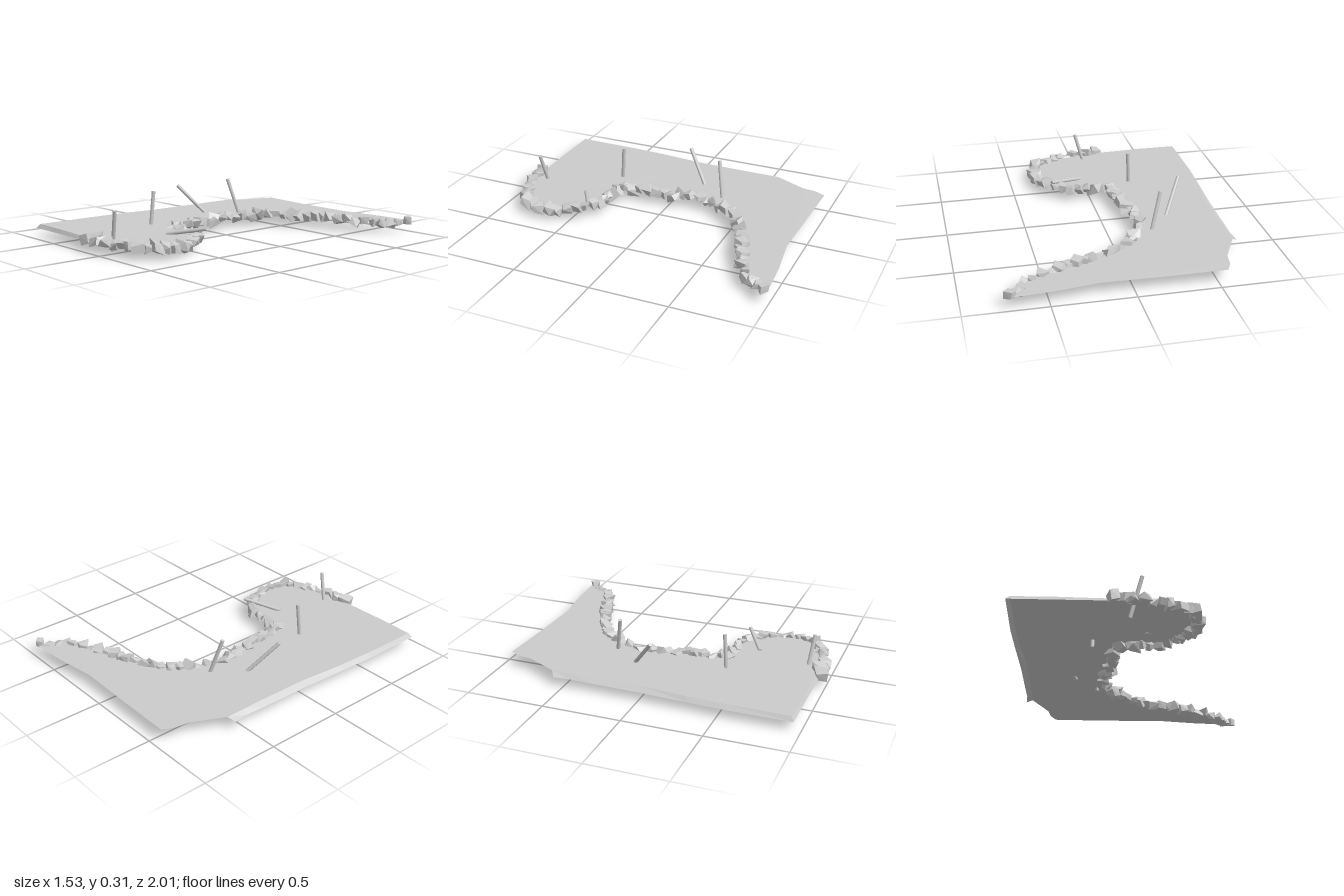
import * as THREE from 'three';
import { ConvexGeometry } from 'three/addons/geometries/ConvexGeometry.js';

const grey = new THREE.MeshStandardMaterial({ color: 0xcccccc });
const sheetGrey = new THREE.MeshStandardMaterial({ color: 0xcccccc, side: THREE.DoubleSide });
const stoneGrey = new THREE.MeshStandardMaterial({ color: 0xcccccc, flatShading: true });

// Small seeded generator for the stones
let seed = 7;
const random = () => {
  seed = (seed * 16807) % 2147483647;
  return seed / 2147483647;
};
const spread = (amount) => (random() * 2 - 1) * amount;

// Shoreline seen from above: [x, z] from the back tip round to the front
const shore = new THREE.CatmullRomCurve3([
  [0.72, -0.955], [0.62, -0.84], [0.47, -0.74], [0.3, -0.68], [0.08, -0.59], [-0.05, -0.5],
  [-0.14, -0.37], [-0.2, -0.22], [-0.2, -0.1], [-0.165, 0.04], [-0.15, 0.22], [-0.12, 0.34],
  [0.0, 0.375], [0.13, 0.375], [0.25, 0.46], [0.32, 0.6], [0.325, 0.74], [0.26, 0.85],
  [0.13, 0.905], [0.0, 0.945], [-0.17, 0.955],
].map(([x, z]) => new THREE.Vector3(x, 0.07, z)));

// Outer border with a raised crest and the foot of its bank: [crest x, z, foot x, z]
const bank = [
  [-0.2, 0.945, -0.2, 0.957], [-0.5, 0.943, -0.5, 0.957], [-0.75, 0.94, -0.77, 0.957],
  [-0.745, 0.55, -0.77, 0.55], [-0.733, 0.3, -0.76, 0.33], [-0.705, 0, -0.742, 0],
  [-0.7, -0.3, -0.735, -0.3], [-0.7, -0.47, -0.73, -0.46], [-0.7, -0.585, -0.74, -0.56],
];
const backEdge = [
  [-0.6, -0.785], [-0.585, -0.88], [-0.55, -0.95], [-0.2, -0.94], [0.2, -0.93],
  [0.47, -0.968], [0.7, -0.985],
];

function makeGround() {
  const group = new THREE.Group();
  group.name = 'ground';
  const outline = [
    ...shore.getSpacedPoints(70).map((p) => [p.x, p.z]),
    ...bank.map(([x, z]) => [x, z]),
    ...backEdge,
  ];
  const top = new THREE.ShapeGeometry(new THREE.Shape(outline.map(([x, z]) => new THREE.Vector2(x, -z))));
  top.rotateX(-Math.PI / 2);
  // Gentle fall from the crest to the shore
  const pos = top.attributes.position;
  for (let i = 0; i < pos.count; i++) {
    pos.setY(i, pos.getX(i) < -0.4 ? 0.084 : 0.078);
  }
  top.computeVertexNormals();
  const sheet = new THREE.Mesh(top, sheetGrey);
  sheet.name = 'groundSheet';

  // Sloping bank joining the crest to its foot
  const points = [];
  const faces = [];
  bank.forEach(([x, z, fx, fz], i) => {
    points.push(x, x < -0.4 ? 0.084 : 0.078, z, fx, 0.058, fz);
    const a = i * 2;
    if (i) faces.push(a - 2, a, a - 1, a, a + 1, a - 1);
  });
  const side = new THREE.BufferGeometry();
  side.setAttribute('position', new THREE.Float32BufferAttribute(points, 3));
  side.setIndex(faces);
  const slope = new THREE.Mesh(side.toNonIndexed(), sheetGrey);
  slope.geometry.computeVertexNormals();
  slope.name = 'bank';
  group.add(sheet, slope);
  return group;
}

// Angular stone: hull of the jittered corners of a box
function makeStone(radius) {
  const corners = [];
  for (const x of [-1, 1]) for (const y of [-1, 1]) for (const z of [-1, 1]) {
    corners.push(new THREE.Vector3(
      (x * 0.62 + spread(0.3)) * radius,
      (y * 0.5 + spread(0.22)) * radius,
      (z * 0.62 + spread(0.3)) * radius,
    ));
  }
  const stone = new THREE.Mesh(new ConvexGeometry(corners), stoneGrey);
  stone.rotation.set(spread(0.45), random() * Math.PI * 2, spread(0.45));
  return stone;
}

function makeStones() {
  const group = new THREE.Group();
  group.name = 'shoreStones';
  shore.getSpacedPoints(54).forEach((p, i) => {
    const stone = makeStone(0.04 + random() * 0.014);
    stone.position.set(p.x + spread(0.01), 0.072 + spread(0.013), p.z + spread(0.01));
    stone.name = `stone${i + 1}`;
    group.add(stone);
  });
  return group;
}

// Round stick between two points
function makeStick(from, to) {
  const a = new THREE.Vector3(...from);
  const b = new THREE.Vector3(...to);
  const dir = b.clone().sub(a);
  const stick = new THREE.Mesh(new THREE.CylinderGeometry(0.012, 0.012, dir.length(), 12), grey);
  stick.position.copy(a).add(b).multiplyScalar(0.5);
  stick.quaternion.setFromUnitVectors(new THREE.Vector3(0, 1, 0), dir.normalize());
  return stick;
}

export function createModel() {
  const model = new THREE.Group();
  model.name = 'stonyShore';
  model.add(makeGround(), makeStones());
  // Sticks: lower end, upper end
  [
    [[-0.39, 0.065, -0.17], [-0.515, 0.27, -0.01]],
    [[-0.25, 0.06, -0.345], [-0.317, 0.31, -0.293]],
    [[-0.285, 0.03, 0.402], [-0.272, 0.297, 0.383]],
    [[-0.07, 0.004, 0.852], [0.0, 0.26, 0.882]],
    [[0.035, 0.08, 0.52], [0.255, 0.125, 0.39]],
  ].forEach(([from, to], i) => {
    const stick = makeStick(from, to);
    stick.name = `stick${i + 1}`;
    model.add(stick);
  });
  return model;
}
